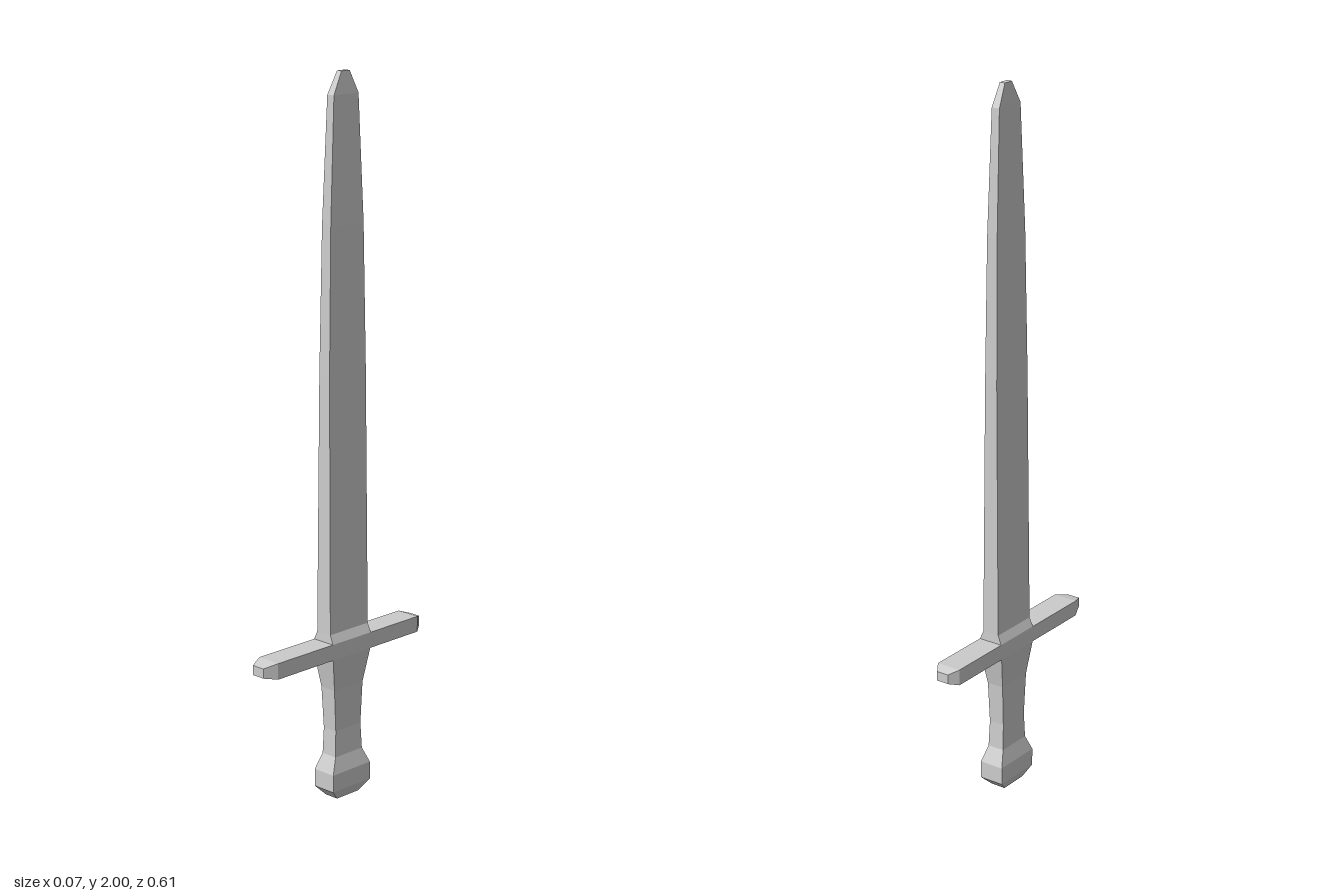
import * as THREE from 'three';

const material = new THREE.MeshStandardMaterial({ color: 0xcccccc, flatShading: true });

// Lofts rectangular sections [height, half width in x, z min, z max] upwards along y.
function loft(name, sections, capBottom, capTop) {
  const positions = [];
  const rings = sections.map(([y, w, z0, z1]) => [[-w, y, z0], [-w, y, z1], [w, y, z1], [w, y, z0]]);
  const quad = (a, b, c, d) => positions.push(...a, ...b, ...c, ...a, ...c, ...d);
  for (let s = 0; s < rings.length - 1; s++) {
    const low = rings[s], high = rings[s + 1];
    for (let i = 0; i < 4; i++) {
      const j = (i + 1) % 4;
      quad(low[i], low[j], high[j], high[i]);
    }
  }
  if (capBottom) quad(...[...rings[0]].reverse());
  if (capTop) quad(...rings[rings.length - 1]);
  const geometry = new THREE.BufferGeometry();
  geometry.setAttribute('position', new THREE.Float32BufferAttribute(positions, 3));
  geometry.computeVertexNormals();
  const mesh = new THREE.Mesh(geometry, material);
  mesh.name = name;
  return mesh;
}

export function createModel() {
  const sword = new THREE.Group();
  sword.name = 'sword';

  // Pommel: bevelled foot, straight band, shoulder into the grip
  sword.add(loft('pommel', [
    [0, 0.022, -0.056, 0.028],
    [0.03, 0.036, -0.088, 0.057],
    [0.08, 0.036, -0.088, 0.057],
    [0.125, 0.025, -0.067, 0.037],
  ], true, false));

  // Grip, flaring up to the guard
  sword.add(loft('grip', [
    [0.125, 0.025, -0.067, 0.037],
    [0.2, 0.023, -0.063, 0.034],
    [0.32, 0.025, -0.069, 0.041],
    [0.415, 0.036, -0.088, 0.057],
  ], false, false));

  // Crossguard: lofted upright, then laid along z
  const guard = loft('crossguard', [
    [-0.305, 0.018, -0.451, -0.424],
    [-0.278, 0.036, -0.46, -0.415],
    [0.265, 0.036, -0.46, -0.415],
    [0.304, 0.02, -0.451, -0.424],
  ], true, true);
  guard.geometry.rotateX(Math.PI / 2);
  sword.add(guard);

  // Blade: collar, long taper, blunt point
  sword.add(loft('blade', [
    [0.46, 0.036, -0.09, 0.058],
    [0.485, 0.025, -0.089, 0.057],
    [1.2, 0.019, -0.085, 0.053],
    [1.6, 0.016, -0.078, 0.045],
    [1.94, 0.012, -0.062, 0.029],
    [2, 0.008, -0.033, -0.003],
  ], false, true));

  return sword;
}
